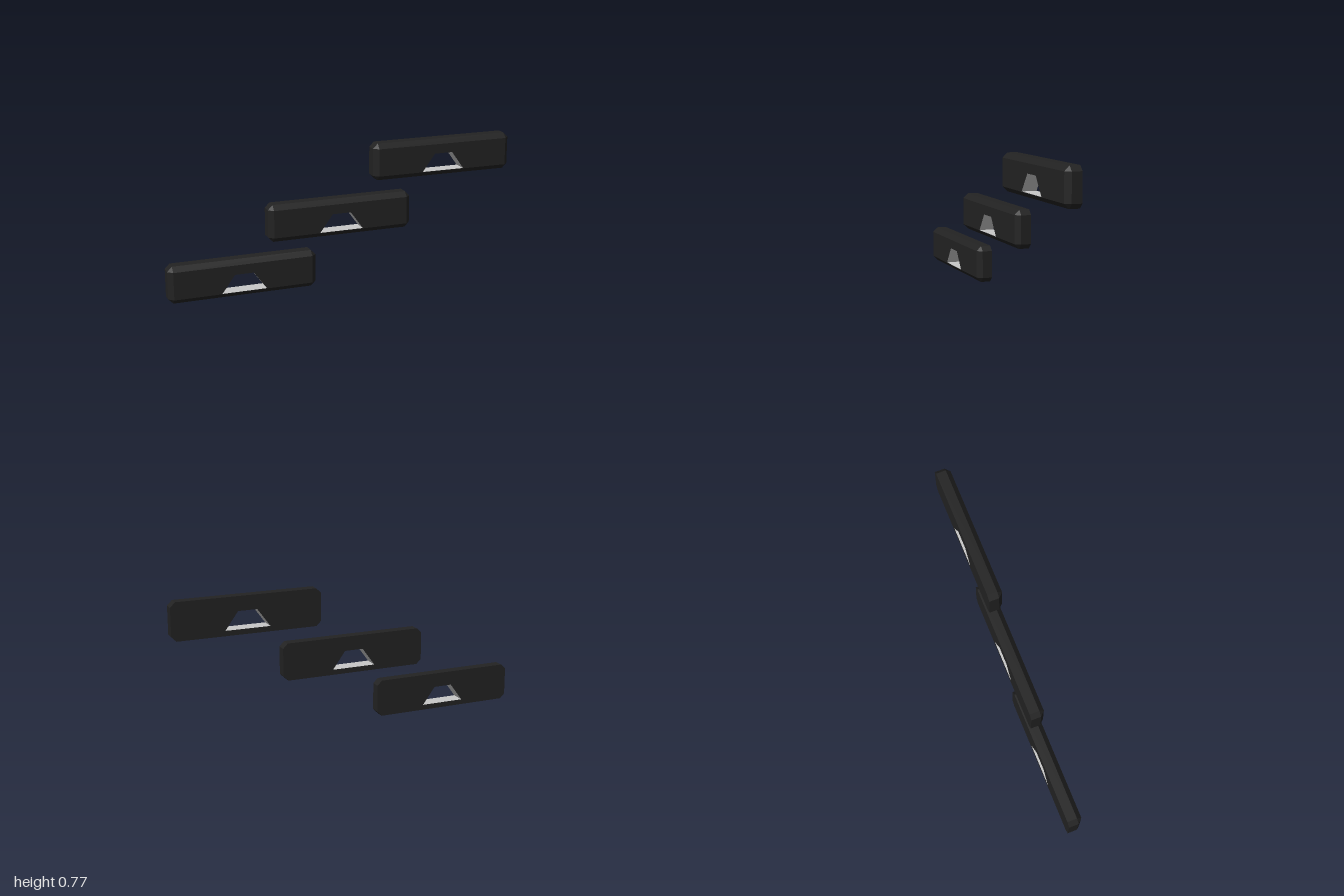
import * as THREE from 'three';

const HW = 0.415, H = 0.208, C = 0.027; // bar half width, height, chamfer
const BACK = -0.0415, MID = 0.0145, FRONT = 0.0415;

// Outlines, counter-clockwise seen from the front
const octagon = [
  [HW - C, 0], [HW, C], [HW, H - C], [HW - C, H],
  [-HW + C, H], [-HW, H - C], [-HW, C], [-HW + C, 0],
];
// Front rectangle with each corner doubled, so it pairs with the octagon
const rect = octagon.map(([x, y]) => [
  Math.sign(x) * (HW - C),
  y < H / 2 ? C : H - C,
]);
const opening = [[0.125, 0.029], [0.053, 0.128], [-0.053, 0.128], [-0.125, 0.029]];

// Band of flat quads joining two outlines at two depths
function band(a, za, b, zb) {
  const pos = [];
  a.forEach((p, i) => {
    const j = (i + 1) % a.length;
    const p0 = [...p, za], p1 = [...a[j], za], q0 = [...b[i], zb], q1 = [...b[j], zb];
    pos.push(...p0, ...p1, ...q1, ...p0, ...q1, ...q0);
  });
  const g = new THREE.BufferGeometry();
  g.setAttribute('position', new THREE.Float32BufferAttribute(pos, 3));
  g.computeVertexNormals();
  return g;
}

// Flat plate with the opening cut out
function plate(outline) {
  const v = (pts) => pts.map(([x, y]) => new THREE.Vector2(x, y));
  const unique = outline.filter((p, i) => {
    const n = outline[(i + 1) % outline.length];
    return p[0] !== n[0] || p[1] !== n[1];
  });
  const shape = new THREE.Shape(v(unique));
  shape.holes.push(new THREE.Path(v(opening)));
  return new THREE.ShapeGeometry(shape);
}

export function createModel() {
  const dark = new THREE.MeshStandardMaterial({ color: 0x222222 });
  dark.name = 'charcoal';
  const light = new THREE.MeshStandardMaterial({ color: 0xc8c8c8 });
  light.name = 'lightGrey';

  const parts = [
    ['frontFace', plate(rect).translate(0, 0, FRONT), dark],
    ['backFace', plate(octagon).rotateY(Math.PI).translate(0, 0, BACK), dark],
    ['sides', band(octagon, BACK, octagon, MID), dark],
    ['frontChamfer', band(octagon, MID, rect, FRONT), dark],
    // Front to back order turns the walls inward
    ['openingWalls', band(opening, FRONT, opening, BACK), light],
  ];

  // Three identical bars in a rising staircase
  const model = new THREE.Group();
  model.name = 'steppedBars';
  [['lowerBar', -0.585, 0], ['middleBar', -0.024, 0.28], ['upperBar', 0.585, 0.567]]
    .forEach(([name, x, y]) => {
      const bar = new THREE.Group();
      bar.name = name;
      for (const [part, geometry, material] of parts) {
        const mesh = new THREE.Mesh(geometry, material);
        mesh.name = part;
        bar.add(mesh);
      }
      bar.position.set(x, y, 0);
      model.add(bar);
    });
  return model;
}
